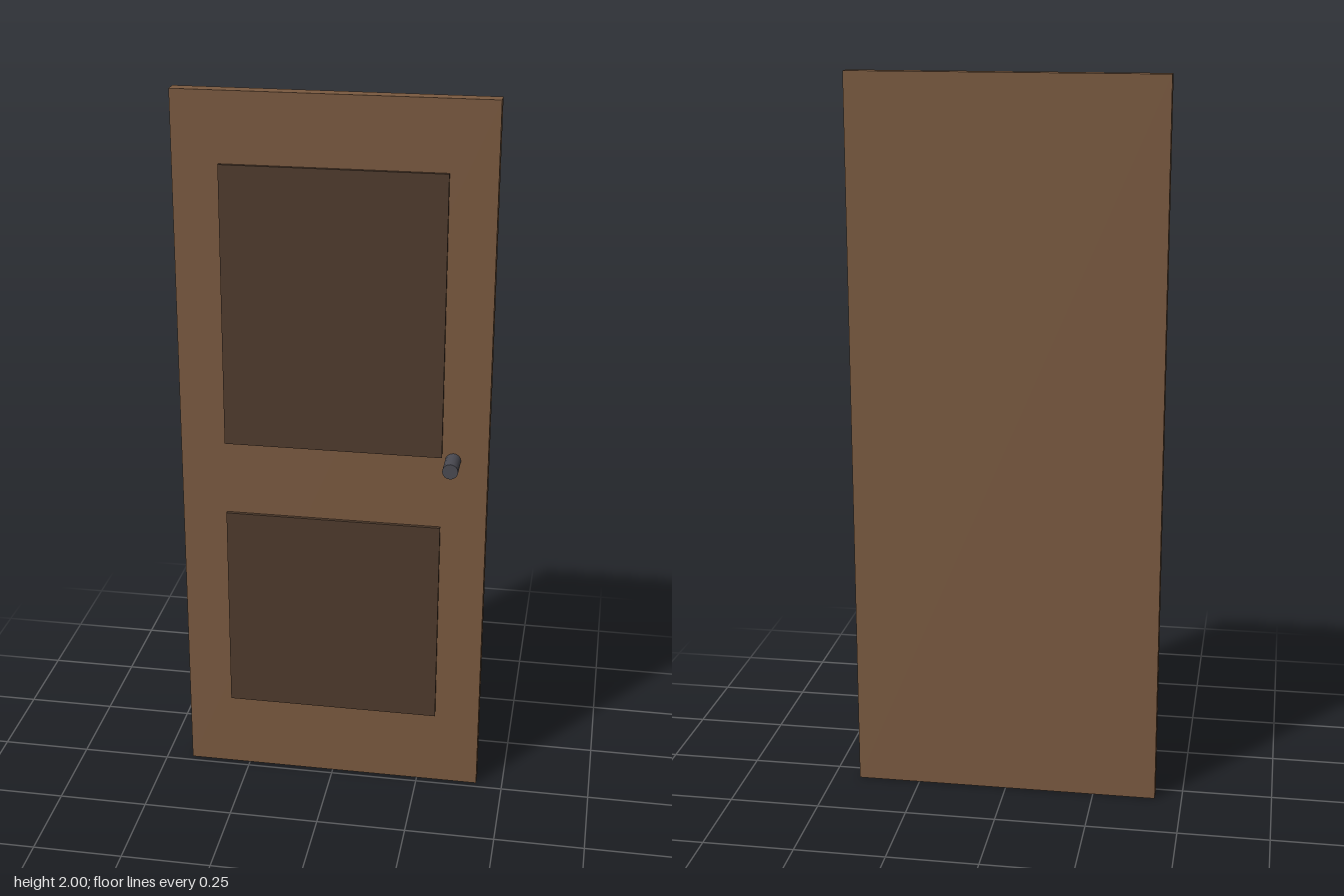
import * as THREE from 'three';

export function createModel() {
  const door = new THREE.Group();
  door.name = 'door';
  const wood = new THREE.MeshStandardMaterial({ color: 0x7a5a40 });
  const darkWood = new THREE.MeshStandardMaterial({ color: 0x4f3b2d });
  const metal = new THREE.MeshStandardMaterial({ color: 0x4a4a52 });

  const back = -0.0585, front = -0.0185;

  // Box spanning the given heights and depths, centred on x
  function board(name, width, y0, y1, z0, z1, material) {
    const mesh = new THREE.Mesh(new THREE.BoxGeometry(width, y1 - y0, z1 - z0), material);
    mesh.position.set(0, (y0 + y1) / 2, (z0 + z1) / 2);
    mesh.name = name;
    door.add(mesh);
  }

  // Door leaf
  board('leaf', 0.85, 0, 2, back, front, wood);

  // Raised panels, set slightly into the leaf
  board('upperPanel', 0.6, 1.03, 1.81, front - 0.01, front + 0.01, darkWood);
  board('lowerPanel', 0.6, 0.22, 0.82, front - 0.01, front + 0.01, darkWood);

  // Round handle pointing forward
  const z0 = front - 0.003, z1 = 0.0575;
  const handle = new THREE.Mesh(new THREE.CylinderGeometry(0.0215, 0.0215, z1 - z0, 16), metal);
  handle.rotation.x = Math.PI / 2;
  handle.position.set(0.33, 1.02, (z0 + z1) / 2);
  handle.name = 'handle';
  door.add(handle);

  return door;
}
